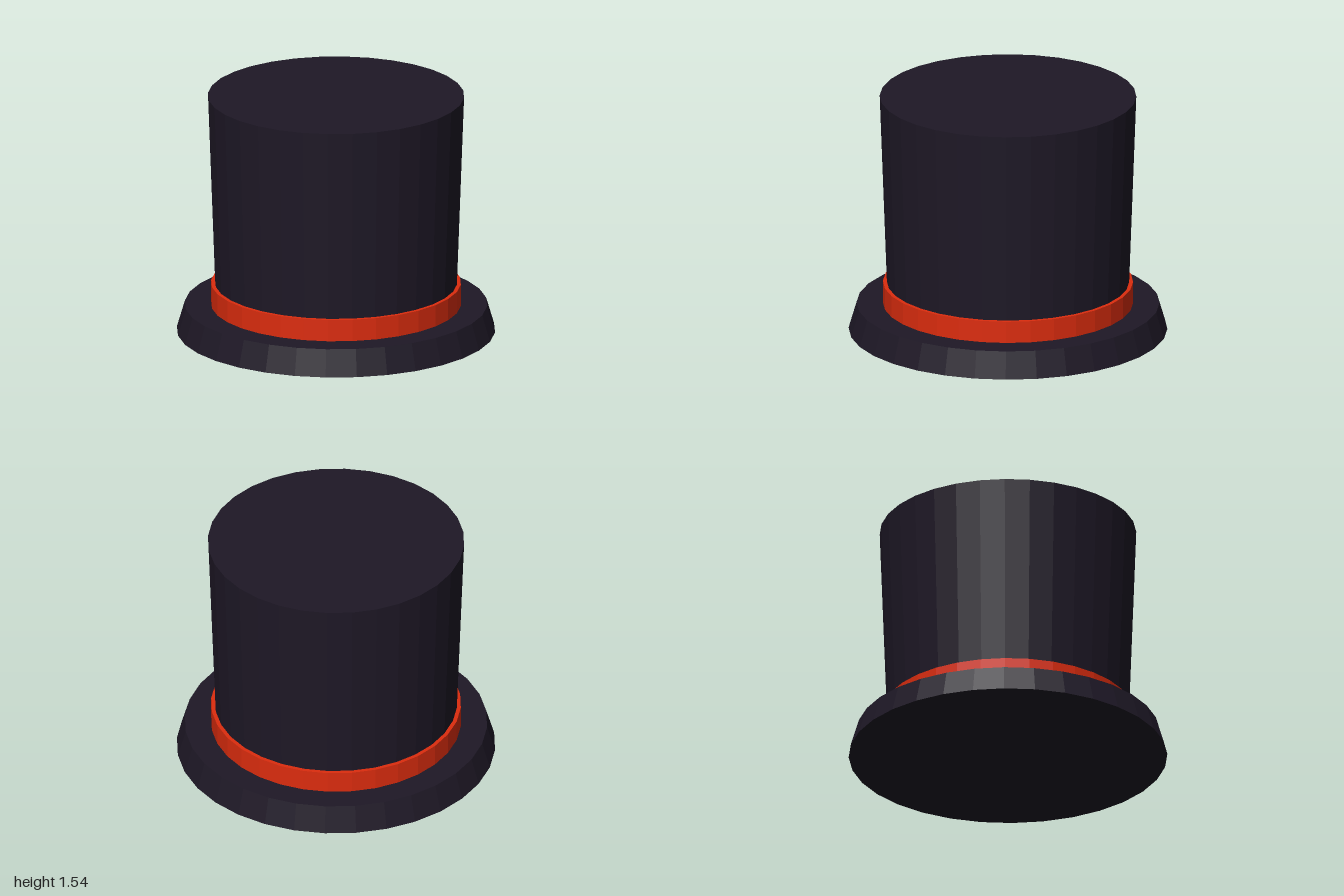
import * as THREE from 'three';

const SIDES = 32;

export function createModel() {
  const hat = new THREE.Group();
  hat.name = 'topHat';

  const felt = new THREE.MeshStandardMaterial({ color: 0x1e1826, flatShading: true });
  const ribbon = new THREE.MeshStandardMaterial({ color: 0xdc2c0e, flatShading: true });

  // Closed round section between two heights
  function section(name, material, bottomRadius, topRadius, y0, y1) {
    const geometry = new THREE.CylinderGeometry(topRadius, bottomRadius, y1 - y0, SIDES);
    const mesh = new THREE.Mesh(geometry, material);
    mesh.name = name;
    mesh.position.y = (y0 + y1) / 2;
    hat.add(mesh);
  }

  // Thick brim, narrowing upward
  section('brim', felt, 1, 0.95, 0, 0.17);
  // Straight ribbon around the foot of the crown
  section('band', ribbon, 0.785, 0.785, 0.17, 0.31);
  // Tall crown, flaring slightly to a flat top
  section('crown', felt, 0.755, 0.805, 0.17, 1.54);

  return hat;
}
